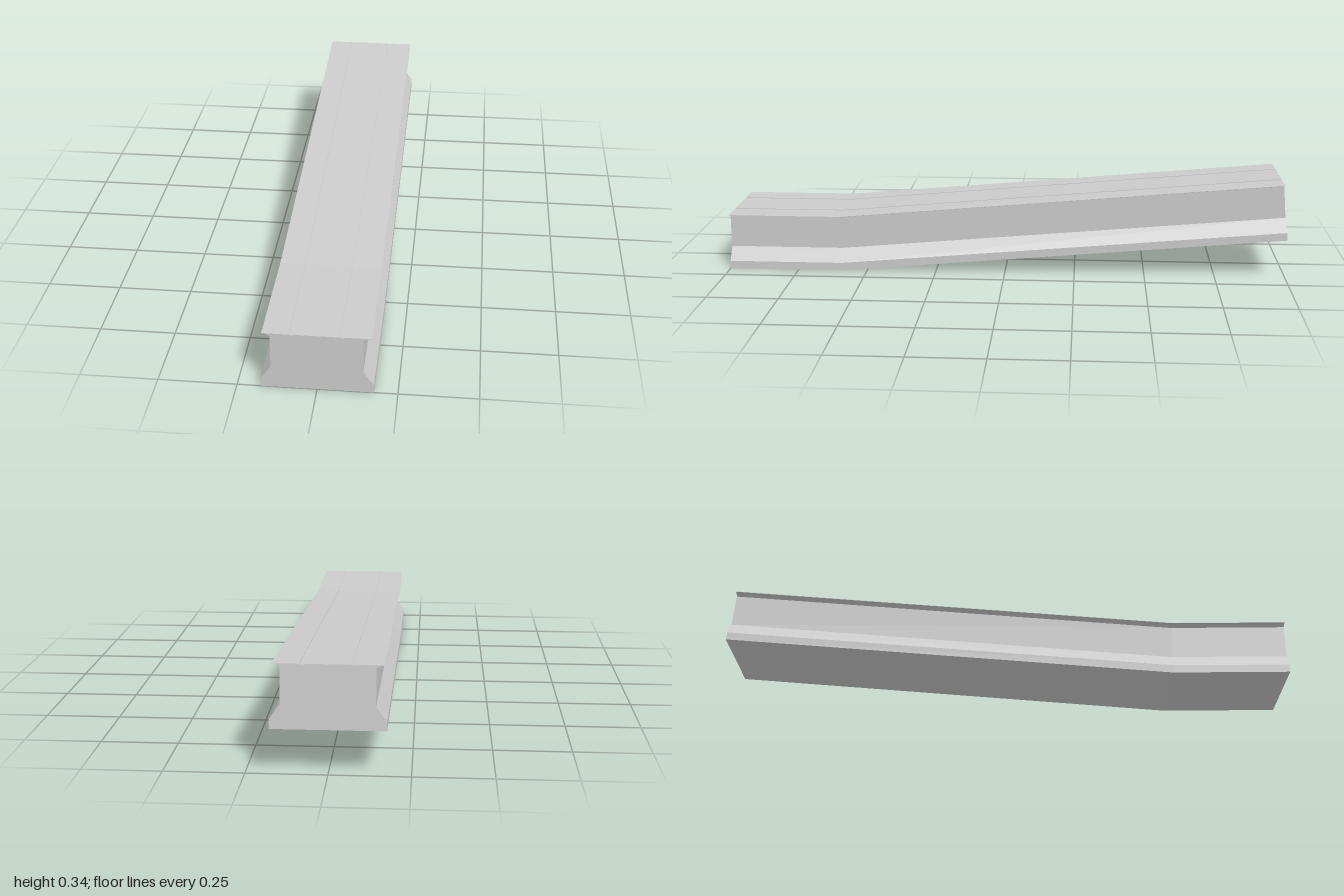
import * as THREE from 'three';

export function createModel() {
  const group = new THREE.Group();
  group.name = 'bentBeam';
  const height = 0.1985;

  // Right half of the cross-section, bottom to top, with a shallow groove in the deck
  const half = [
    [0.176, 0], [0.176, 0.028], [0.143, 0.075], [0.143, 0.19],
    [0.156, 0.1965], [0.168, 0.1968], [0.168, height],
    [0.085, height], [0.085, height - 0.002], [0.071, height - 0.002], [0.071, height],
  ];
  const mirrored = half.map(([x, y]) => [-x, y]).reverse();
  const shape = new THREE.Shape([...half, ...mirrored].map(([x, y]) => new THREE.Vector2(x, y)));

  // Three stations: 0 = raised back end, 1 = bend, 2 = front end
  const geometry = new THREE.ExtrudeGeometry(shape, { depth: 2, steps: 2, bevelEnabled: false });
  const bendZ = 0.59;
  const rise = 0.1413;
  const angle = Math.atan2(rise, bendZ + 1);
  const pos = geometry.attributes.position;
  for (let i = 0; i < pos.count; i++) {
    const station = Math.round(pos.getZ(i));
    const y = pos.getY(i);
    if (station === 0) {
      // End cut square to the slope
      pos.setY(i, rise + y * Math.cos(angle));
      pos.setZ(i, -1 + y * Math.sin(angle));
    } else if (station === 1) {
      // Mitre halfway between the level and sloping lengths
      pos.setZ(i, bendZ + y * Math.tan(angle / 2));
    } else {
      pos.setZ(i, 1);
    }
  }
  geometry.computeVertexNormals();

  const beam = new THREE.Mesh(
    geometry,
    new THREE.MeshStandardMaterial({ color: 0xcccccc, flatShading: true })
  );
  beam.name = 'beam';
  group.add(beam);
  return group;
}
